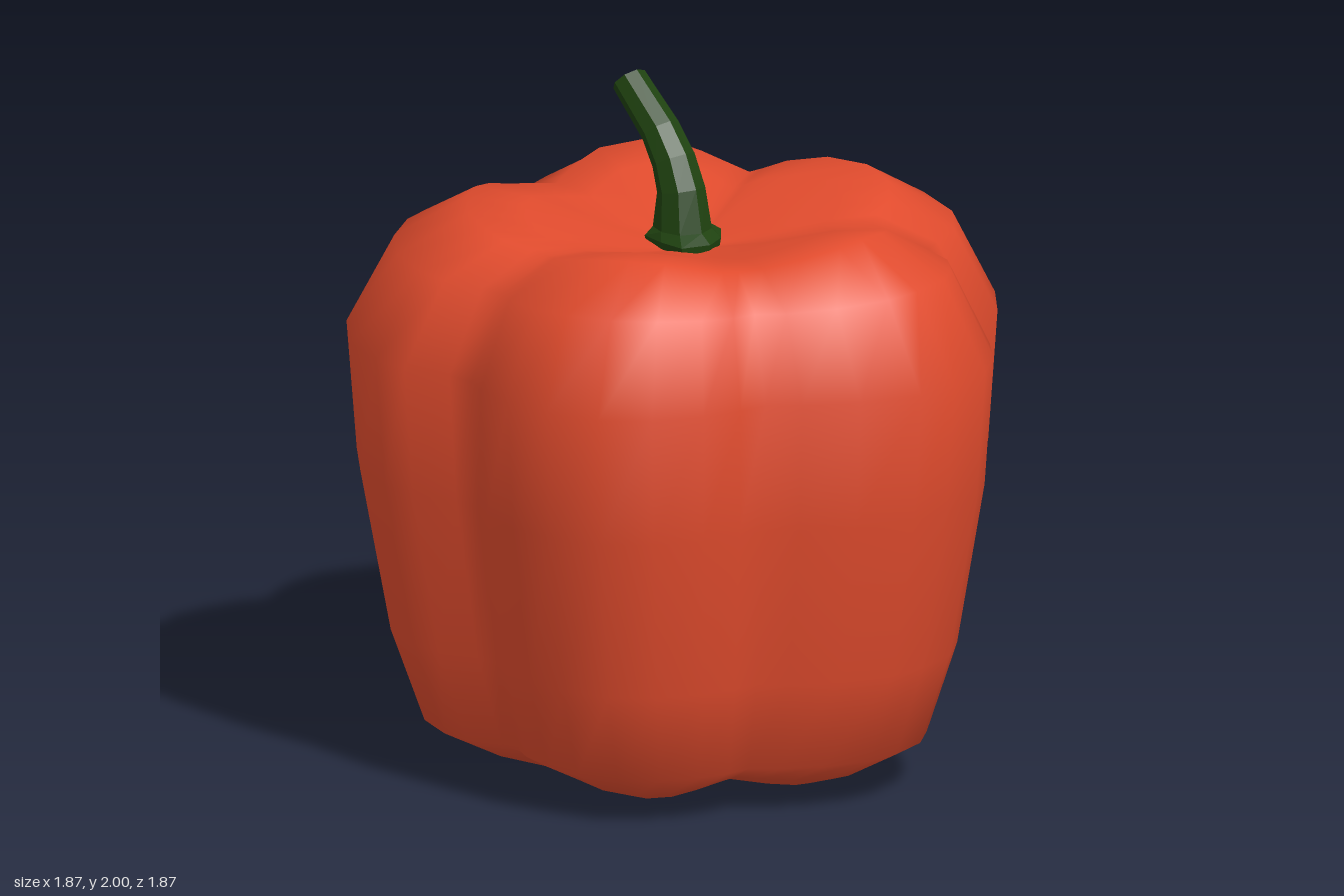
import * as THREE from 'three';

// Skin a stack of equal-length rings (bottom to top, counterclockwise from above)
function loft(rings, material, name) {
  const n = rings[0].length;
  const index = [];
  for (let i = 0; i < rings.length - 1; i++) {
    for (let j = 0; j < n; j++) {
      const k = (j + 1) % n;
      const a = i * n + j, b = i * n + k, c = a + n, d = b + n;
      index.push(a, b, d, a, d, c);
    }
  }
  const geometry = new THREE.BufferGeometry().setFromPoints(rings.flat());
  geometry.setIndex(index);
  geometry.computeVertexNormals();
  const mesh = new THREE.Mesh(geometry, material);
  mesh.name = name;
  return mesh;
}

const AXIS_Z = 0.04;

// Widest outline, one row per lobe, each starting at its crease: [x, z]
const LOBES = [
  [[0.02, 0.85], [0.1, 0.88], [0.25, 0.9], [0.4, 0.88], [0.55, 0.81], [0.65, 0.69], [0.71, 0.55], [0.73, 0.43]],
  [[0.73, 0.34], [0.8, 0.26], [0.88, 0.11], [0.93, -0.07], [0.92, -0.2], [0.86, -0.36], [0.76, -0.47], [0.64, -0.55]],
  [[0.5, -0.58], [0.46, -0.65], [0.4, -0.77], [0.25, -0.88], [0.03, -0.935], [-0.2, -0.9], [-0.35, -0.79], [-0.41, -0.7]],
  [[-0.44, -0.65], [-0.55, -0.635], [-0.7, -0.59], [-0.81, -0.52], [-0.88, -0.43], [-0.935, -0.2], [-0.925, -0.09], [-0.88, 0.04]],
  [[-0.83, 0.12], [-0.86, 0.2], [-0.87, 0.35], [-0.86, 0.48], [-0.8, 0.6], [-0.68, 0.75], [-0.5, 0.88], [-0.32, 0.93], [-0.2, 0.92], [-0.07, 0.86]],
];

// Vertical profile: [outline scale, height, height change at creases]
const PROFILE = [
  [0, 0.2, 0], [0.2, 0.13, 0.01], [0.34, 0.04, 0.03], [0.46, 0.005, 0.04], [0.6, 0.05, 0.03],
  [0.78, 0.145, 0], [0.88, 0.42, 0], [0.97, 0.9, 0], [1, 1.28, 0], [0.86, 1.54, -0.02],
  [0.65, 1.66, -0.06], [0.48, 1.64, -0.05], [0.25, 1.57, -0.02], [0, 1.52, 0],
];

function createBody(material) {
  const rings = PROFILE.map(([scale, y, dip]) => LOBES.flatMap((lobe) =>
    lobe.map(([x, z], j) => {
      const crease = Math.cos(Math.PI * j / lobe.length) ** 2;
      return new THREE.Vector3(x * scale, y + dip * crease, AXIS_Z + (z - AXIS_Z) * scale);
    })));
  return loft(rings, material, 'body');
}

// Stem sections: [x, y, radius, lean angle, unevenness]
const STEM = [
  [-0.01, 1.5, 0.1, 0, 0.15], [-0.01, 1.555, 0.11, 0, 0.15], [-0.025, 1.58, 0.085, 0, 0.05],
  [-0.035, 1.69, 0.07, 0.2, 0], [-0.07, 1.77, 0.064, 0.5, 0], [-0.13, 1.845, 0.058, 0.7, 0],
  [-0.275, 1.963, 0.052, 0.8, 0], [-0.275, 1.963, 0, 0.8, 0],
];

function createStem(material) {
  const SIDES = 8;
  const rings = STEM.map(([x, y, radius, lean, uneven]) =>
    Array.from({ length: SIDES }, (_, j) => {
      const a = (j / SIDES) * Math.PI * 2;
      const r = radius * (1 + uneven * Math.sin(a * 3 - 1.5));
      const u = Math.sin(a) * r;
      return new THREE.Vector3(
        x + u * Math.cos(lean), y + u * Math.sin(lean), AXIS_Z + Math.cos(a) * r);
    }));
  return loft(rings, material, 'stem');
}

export function createModel() {
  const skin = new THREE.MeshStandardMaterial({ color: 0xe04b2d });
  const green = new THREE.MeshStandardMaterial({ color: 0x1f4210, flatShading: true });
  const model = new THREE.Group();
  model.name = 'bellPepper';
  model.add(createBody(skin), createStem(green));
  return model;
}
